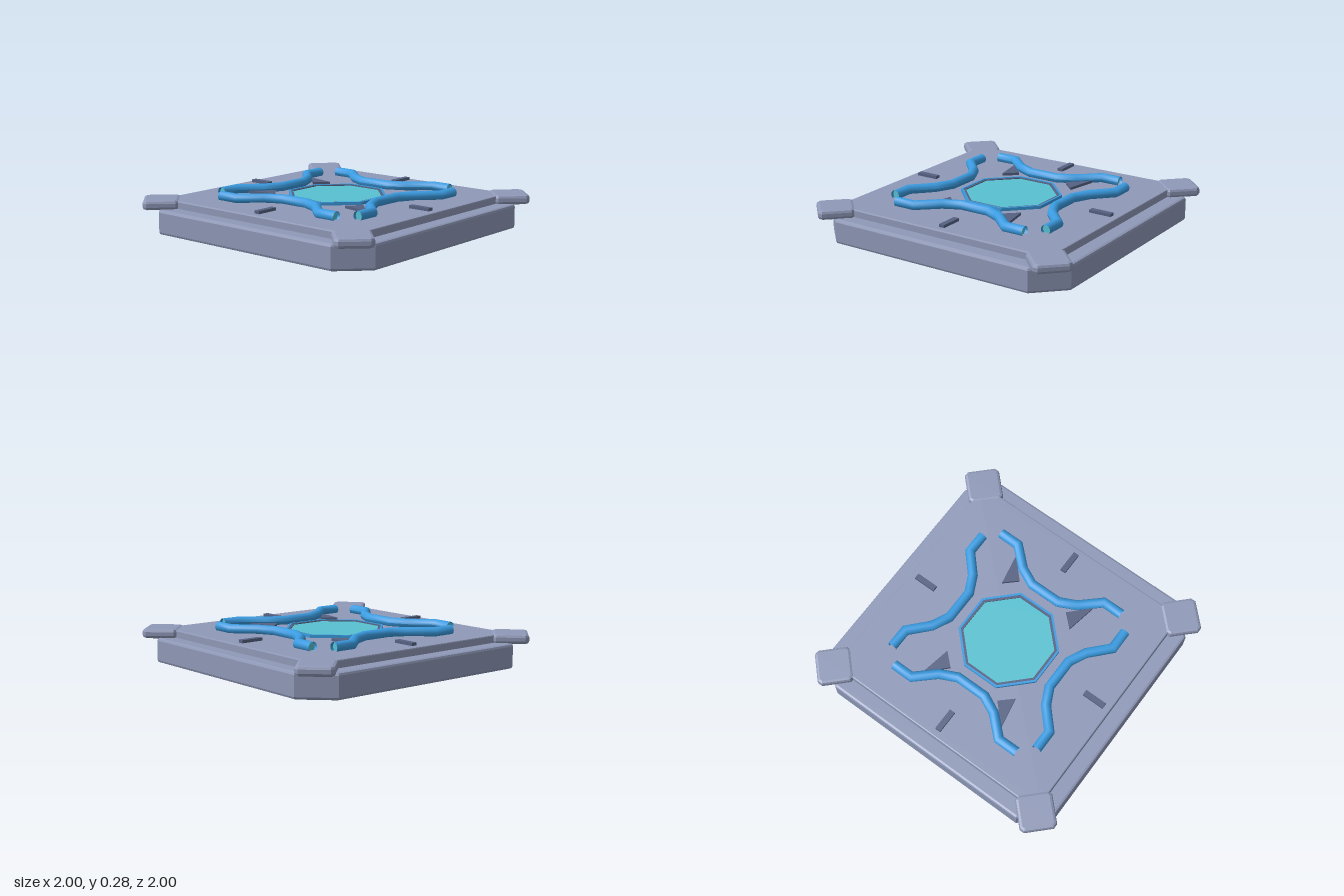
import * as THREE from 'three';

const mat = (name, color, side = THREE.FrontSide) => {
  const m = new THREE.MeshStandardMaterial({ color, side });
  m.name = name;
  return m;
};

// Square outline of half width w with corners cut by c
const cutSquare = (w, c) => [
  [w, -w + c], [w, w - c], [w - c, w], [-w + c, w],
  [-w, w - c], [-w, -w + c], [-w + c, -w], [w - c, -w],
];
const octagon = (apothem) => cutSquare(apothem, apothem * (1 - Math.tan(Math.PI / 8)));
const toShape = (pts) => new THREE.Shape(pts.map(([x, y]) => new THREE.Vector2(x, y)));

// Horizontal plate from y0 to y1 with a bevel kept inside the outline
function plate(pts, y0, y1, bevel = 0, hole = null) {
  const shape = toShape(pts);
  if (hole) shape.holes.push(new THREE.Path(hole.map(([x, y]) => new THREE.Vector2(x, y))));
  const geo = new THREE.ExtrudeGeometry(shape, {
    depth: y1 - y0 - 2 * bevel, bevelEnabled: bevel > 0,
    bevelThickness: bevel, bevelSize: bevel, bevelOffset: -bevel, bevelSegments: 2,
  });
  return geo.rotateX(-Math.PI / 2).translate(0, y0 + bevel, 0);
}

// Open round pipe along a flat path of [x, z] points, mitred at the bends
function pipe(path, y, r, sides = 14) {
  const pts = path.map(([x, z]) => new THREE.Vector2(x, z));
  const pos = [], idx = [];
  pts.forEach((p, i) => {
    const a = p.clone().sub(pts[Math.max(i - 1, 0)]).normalize();
    const b = pts[Math.min(i + 1, pts.length - 1)].clone().sub(p).normalize();
    const t = a.clone().add(b).normalize();
    const stretch = 1 / Math.max(t.dot(a), t.dot(b));
    for (let k = 0; k <= sides; k++) {
      const ang = (k % sides) / sides * Math.PI * 2;
      const s = Math.cos(ang) * r * stretch;
      pos.push(p.x - t.y * s, y + Math.sin(ang) * r, p.y + t.x * s);
      if (i && k) {
        const d = i * (sides + 1) + k, c = d - 1, e = d - sides - 1, f = e - 1;
        idx.push(f, e, c, e, d, c);
      }
    }
  });
  const geo = new THREE.BufferGeometry();
  geo.setAttribute('position', new THREE.Float32BufferAttribute(pos, 3));
  geo.setIndex(idx);
  geo.computeVertexNormals();
  return geo;
}

export function createModel() {
  const grey = mat('blueGreyMetal', 0x8f99b8);
  const dark = mat('darkSlate', 0x566283);
  const blue = mat('pipeBlue', 0x3a9be0, THREE.DoubleSide);
  const teal = mat('glowTeal', 0x58c2d2);

  const model = new THREE.Group();
  model.name = 'floorPad';
  const add = (name, geo, material, parent = model) => {
    const m = new THREE.Mesh(geo, material);
    m.name = name;
    parent.add(m);
    return m;
  };

  // Base block and raised deck
  add('base', plate(cutSquare(0.947, 0.19), 0, 0.17, 0.018), grey);
  add('deck', plate(cutSquare(0.838, 0.06), 0.16, 0.222, 0.008), grey);

  // Corner pads, turned to diamonds
  const padShape = cutSquare(0.123, 0.025);
  for (const sx of [-1, 1]) for (const sz of [-1, 1]) {
    const pad = add('cornerPad', plate(padShape, 0.163, 0.228, 0.02), grey);
    pad.position.set(sx * 0.842, 0, sz * 0.842);
    pad.rotation.y = Math.PI / 4;
  }

  // Central octagonal window with nested rims
  add('outerRim', plate(octagon(0.325), 0.215, 0.243, 0, octagon(0.31)), blue);
  add('innerRim', plate(octagon(0.31), 0.215, 0.24, 0, octagon(0.294)), dark);
  add('window', plate(octagon(0.296), 0.215, 0.234), teal);

  // One pipe and one dash marker on each side
  const half = [[0.11, -0.42], [0.23, -0.478], [0.365, -0.603], [0.51, -0.603]];
  const path = [...half.map(([x, z]) => [-x, z]).reverse(), ...half];
  const pipeGeo = pipe(path, 0.246, 0.034);
  const dashGeo = new THREE.BoxGeometry(0.04, 0.02, 0.16).translate(0, 0.233, -0.71);
  const coreGeo = new THREE.CircleGeometry(0.032, 14).rotateY(Math.PI / 2);
  for (let i = 0; i < 4; i++) {
    const side = new THREE.Group();
    side.name = 'sideFittings';
    side.rotation.y = i * Math.PI / 2;
    model.add(side);
    add('pipe', pipeGeo, blue, side);
    add('dashMarker', dashGeo, dark, side);
    // Recessed plugs in the pipe ends
    for (const s of [-1, 1]) {
      const core = add('pipePlug', coreGeo, teal, side);
      core.position.set(s * 0.49, 0.246, -0.603);
      if (s < 0) core.rotation.y = Math.PI;
    }
  }

  // Pointers around the window, mirrored in x and z
  const tri = [[0.31, 0.286], [0.53, 0.328], [0.393, 0.197]];
  for (const sx of [-1, 1]) for (const sz of [-1, 1]) {
    add('pointer', plate(tri.map(([x, y]) => [x * sx, y * sz]), 0.216, 0.24), dark);
  }
  return model;
}
